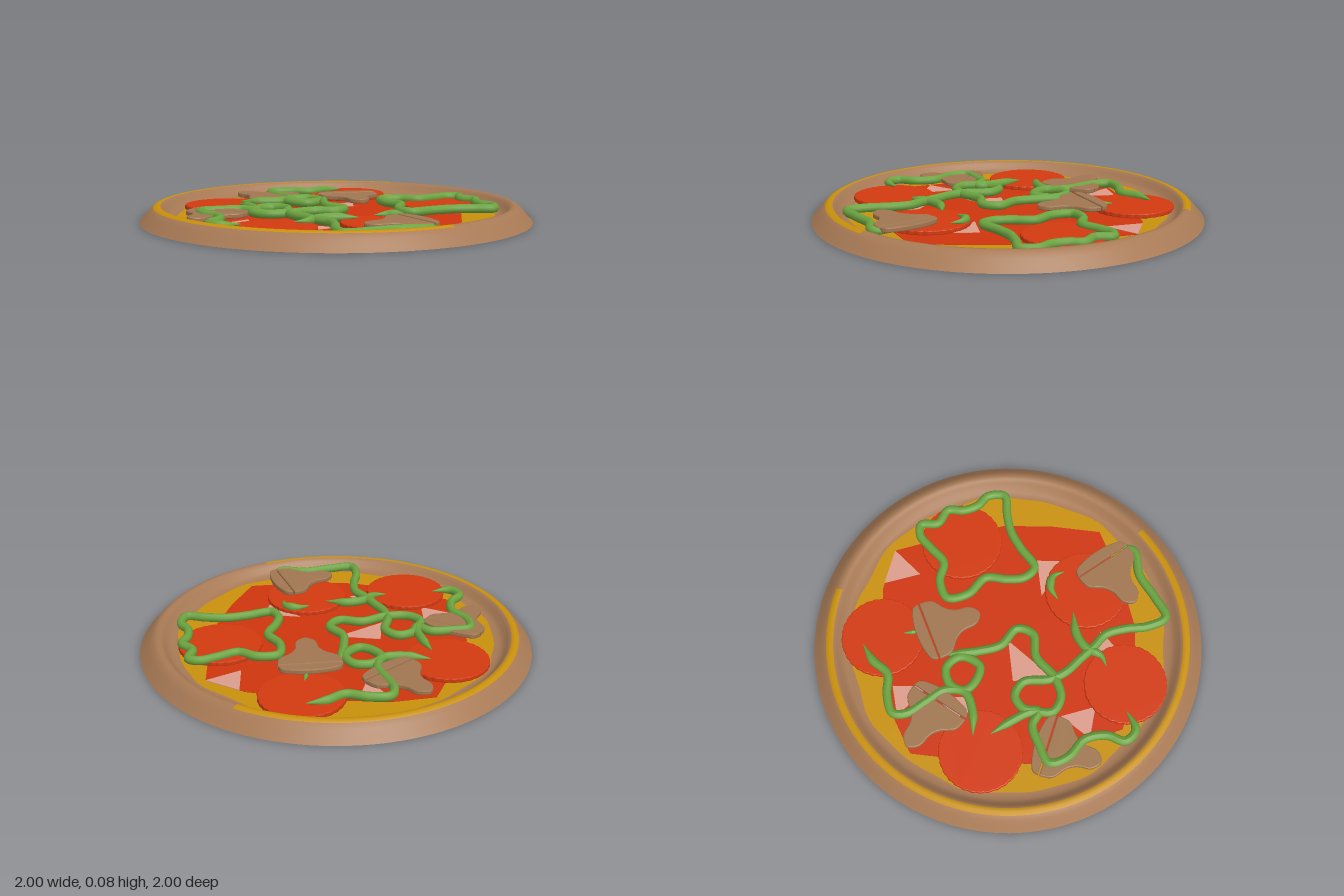
import * as THREE from 'three';

const paint = (name, color, side = THREE.FrontSide) => {
  const m = new THREE.MeshStandardMaterial({ color, side });
  m.name = name;
  return m;
};

// x/z pairs in hundredths of a unit -> Vector2 list
const pairs = (a) => {
  const out = [];
  for (let i = 0; i < a.length; i += 2) out.push(new THREE.Vector2(a[i] / 100, a[i + 1] / 100));
  return out;
};

// Flat slab lying on y, outlined in x/z
function slab(points, y, height, bevel = 0) {
  const shape = new THREE.Shape(points.map((p) => new THREE.Vector2(p.x, -p.y)));
  const geo = new THREE.ExtrudeGeometry(shape, {
    depth: height - 2 * bevel, bevelEnabled: bevel > 0, bevelSize: bevel,
    bevelThickness: bevel, bevelOffset: -bevel, bevelSegments: 2,
  });
  return geo.rotateX(-Math.PI / 2).translate(0, y + bevel, 0);
}

// Pepper strip: a tube with pointed ends unless it is a closed ring
function strip(coords, closed = false, y = 0.058, radius = 0.023) {
  const curve = new THREE.CatmullRomCurve3(
    pairs(coords).map((p) => new THREE.Vector3(p.x, y, p.y)), closed);
  const length = curve.getLength(), n = Math.max(12, Math.ceil(length * 70));
  const geo = new THREE.TubeGeometry(curve, n, radius, 10, closed);
  if (!closed) {
    const pos = geo.attributes.position, v = new THREE.Vector3();
    for (let i = 0; i <= n; i++) {
      const c = curve.getPointAt(i / n);
      const k = Math.min(1, 0.08 + (Math.min(i, n - i) / n) * length / 0.1);
      for (let j = 0; j <= 10; j++) {
        v.fromBufferAttribute(pos, i * 11 + j).sub(c).multiplyScalar(k).add(c);
        pos.setXYZ(i * 11 + j, v.x, v.y, v.z);
      }
    }
    geo.computeVertexNormals();
  }
  return geo;
}

export function createModel() {
  const model = new THREE.Group();
  model.name = 'pizza';
  const crust = paint('crust brown', 0xa87a55, THREE.DoubleSide);
  const cheese = paint('cheese yellow', 0xc8900c, THREE.DoubleSide);
  const sauce = paint('sauce red', 0xce360e);
  const pale = paint('pale pink', 0xdc9c8c);
  const salami = paint('salami red', 0xd23a10);
  const mushroom = paint('mushroom brown', 0xa07650);
  const green = paint('pepper green', 0x6ca340);
  const add = (name, geo, mat, parent = model) => {
    const mesh = new THREE.Mesh(geo, mat);
    mesh.name = name;
    parent.add(mesh);
    return mesh;
  };

  // Base: open shell with crust rim, a partial cheese line on the crest, cheese floor
  const floor = 0.026, segments = 128;
  const profile = [[1, 0], [0.975, 0.028], [0.952, 0.056], [0.93, 0.076], [0.912, 0.084],
    [0.893, 0.083], [0.876, 0.068], [0.86, 0.045], [0.84, 0.032], [0.81, floor], [0, floor]]
    .map(([r, y]) => new THREE.Vector2(r, y));
  const rows = profile.length - 1;
  const base = new THREE.LatheGeometry(profile, segments);
  const pos = base.attributes.position;
  for (let i = 0; i <= segments; i++) {
    // wavy edge of the cheese
    const a = (i / segments) * Math.PI * 2, k = i * (rows + 1) + rows - 1;
    const w = 1 + 0.009 * Math.sin(a * 9) + 0.006 * Math.sin(a * 16 + 1);
    pos.setXYZ(k, pos.getX(k) * w, floor, pos.getZ(k) * w);
  }
  for (let i = 0; i < segments; i++) {
    const a = ((i + 0.5) / segments) * Math.PI * 2, lined = a < 0.59 || a > 2.735;
    for (let j = 0; j < rows; j++) {
      const yellow = j === rows - 1 || (lined && (j === 3 || j === 4));
      base.addGroup((i * rows + j) * 6, 6, yellow ? 1 : 0);
    }
  }
  add('crustAndCheese', base, [crust, cheese]);

  // Sauce patch, thin and straddling the floor so that it shows below too
  add('sauce', slab(pairs([-55, -55, -35, -62, 0, -65, 35, -62, 56, -54, 61, -25, 64, 5, 61, 30,
    55, 55, 30, 62, 0, 66, -28, 62, -54, 52, -60, 28, -67, 5, -62, -25]), floor - 0.002, 0.004), sauce);

  // Pale triangular chips in the sauce
  const chips = [[38, -61, 56, -54, 41, -42], [-35, -60, -19, -61, -21, -43], [-23, 0, -1, 0, -22, 19],
    [-57, 35, -44, 22, -41, 40], [22, 20, 42, 20, 40, 36], [-12, 42, -1, 48, -16, 58],
    [-45, -25, -27, -40, -29, -23], [-4, -30, 10, -38, 10, -22], [44, -8, 60, -10, 52, 2]];
  chips.forEach((c) => add('sauceChip', slab(pairs(c), floor - 0.004, 0.008), pale));

  // Salami slices with finely scalloped edges
  const slice = [];
  for (let i = 0; i < 120; i++) {
    const a = (i / 120) * Math.PI * 2, r = 0.208 + 0.004 * Math.abs(Math.sin(a * 15));
    slice.push(new THREE.Vector2(r * Math.cos(a), r * Math.sin(a)));
  }
  const sliceGeo = slab(slice, floor, 0.024, 0.005);
  [[0.075, -0.64], [-0.58, -0.2], [0.565, -0.185], [0.22, 0.43], [-0.31, 0.565]]
    .forEach(([x, z]) => add('salamiSlice', sliceGeo, salami).position.set(x, 0, z));

  // Mushroom slices: body with stem along +z, and a cap strip behind a narrow slit
  const smooth = (a) => new THREE.SplineCurve(pairs(a)).getPoints(40);
  const bodyGeo = slab(smooth([-16, 0.4, -15, 7, -9, 12, -6, 17, -5, 24, 0, 28, 5, 24, 6, 17,
    9, 12, 15, 7, 16, 0.4]), 0, 0.025, 0.006);
  const capGeo = slab(smooth([16, -0.4, 14, -4, 7, -6, 0, -6.5, -7, -6, -14, -4, -16, -0.4]), 0, 0.027, 0.006);
  // cap position, stem direction, resting height
  [[0.07, -0.40, 0.075, 0.28, 0.056], [-0.31, -0.38, -0.2, -0.17, 0.044],
    [-0.59, 0.135, -0.11, 0.25, 0.04], [0.36, 0.54, -0.24, 0.13, 0.056]].forEach(([x, z, dx, dz, y]) => {
    const g = new THREE.Group();
    g.name = 'mushroomSlice';
    add('mushroomBody', bodyGeo, mushroom, g);
    add('mushroomCap', capGeo, mushroom, g);
    g.position.set(x, y, z);
    g.rotation.y = Math.atan2(dx, dz);
    model.add(g);
  });

  // Pepper strips: closed rings, then loose curls
  [[25, -29, 26, -18, 34, -8, 32, 3, 32, 12, 37, 18, 49, 12, 59, 8, 70, 7, 80, 7, 81, -2, 76, -8,
    74, -16, 75, -24, 68, -30, 68, -39, 62, -40, 54, -35, 45, -29, 35, -32],
  [-22, -32, -13, -33, -8, -25, -14, -16, -22, -19, -26, -25]]
    .forEach((c) => add('pepperRing', strip(c, true), green));
  [[4, -74, -5, -70, -13, -63, -24, -64, -34, -62, -35, -55, -30, -45, -25, -35, -27, -25, -37, -22, -50, -23],
    [-6, -34, -6, -16, -4, -4, 4, 5, 0, 13, -12, 13, -24, 21, -35, 23, -42, 18, -41, 7, -45, -4, -50, -14],
    [-46, 55, -56, 58, -61, 52, -57, 43, -58, 32, -66, 23, -68, 13, -58, 9, -48, 7, -41, 11, -39, 4, -32, 0,
      -25, 5, -25, 18, -22, 27, -16, 35, -10, 43, -4, 50, -2, 61, -2, 72, 2, 82, 14, 78, 27, 72, 41, 71, 45, 62],
    [10, 35, -2, 35, -10, 39, -15, 46, -21, 48],
    [18, 28, 25, 25, 31, 27, 33, 33],
    [8, -53, 8, -44]]
    .forEach((c) => add('pepperCurl', strip(c), green));
  return model;
}
